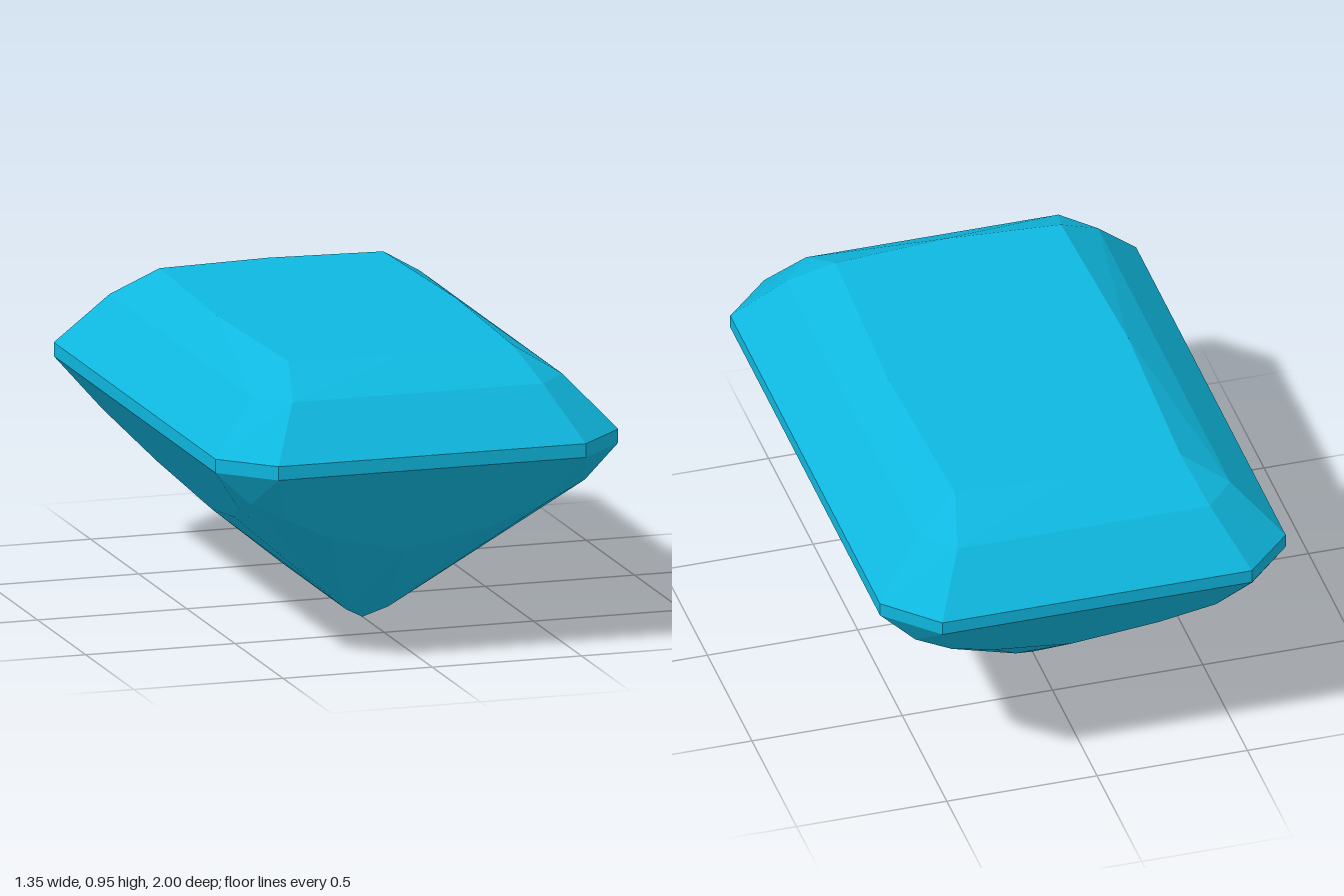
import * as THREE from 'three';

const v = (x, y, z) => new THREE.Vector3(x, y, z);
const CENTRE = v(0, 0.55, 0);

// Mirrors the facets of one quarter (x > 0, z > 0) into all four, facing outwards
function facetMesh(name, facets, material) {
  const positions = [];
  for (const sx of [1, -1]) for (const sz of [1, -1]) for (const facet of facets) {
    const pts = facet.map(p => v(p.x * sx, p.y, p.z * sz));
    for (let i = 1; i < pts.length - 1; i++) {
      let [a, b, c] = [pts[0], pts[i], pts[i + 1]];
      const normal = b.clone().sub(a).cross(c.clone().sub(a));
      const outward = a.clone().add(b).add(c).divideScalar(3).sub(CENTRE);
      if (normal.dot(outward) < 0) [b, c] = [c, b];
      for (const p of [a, b, c]) positions.push(p.x, p.y, p.z);
    }
  }
  const geometry = new THREE.BufferGeometry();
  geometry.setAttribute('position', new THREE.Float32BufferAttribute(positions, 3));
  geometry.computeVertexNormals();
  const mesh = new THREE.Mesh(geometry, material);
  mesh.name = name;
  return mesh;
}

// Quarter of a cut-corner rectangle: side middle, two corner points, end middle
const ring = (y, x, z, cornerX, cornerZ) =>
  [v(x, y, 0), v(x, y, cornerZ), v(cornerX, y, z), v(0, y, z)];

const band = (a, b) => [0, 1, 2].map(i => [a[i], a[i + 1], b[i + 1], b[i]]);

export function createModel() {
  const group = new THREE.Group();
  group.name = 'gem';
  const material = new THREE.MeshStandardMaterial({ color: 0x0fb8e0, flatShading: true });

  const girdleLow = ring(0.65, 0.675, 1, 0.515, 0.84);
  const girdleHigh = ring(0.695, 0.675, 1, 0.515, 0.84);
  const shoulder = ring(0.865, 0.52, 0.85, 0.42, 0.74);

  // Crown: main bevels, star facets and the flat table
  const tableSide = v(0.4, 0.955, 0), tableCorner = v(0.375, 0.955, 0.67), tableEnd = v(0, 0.955, 0.7);
  const crown = [
    ...band(girdleHigh, shoulder),
    [shoulder[0], shoulder[1], tableSide],
    [shoulder[1], tableCorner, tableSide],
    [shoulder[1], shoulder[2], tableCorner],
    [shoulder[2], tableEnd, tableCorner],
    [shoulder[2], shoulder[3], tableEnd],
    [v(0, 0.955, 0), tableSide, tableCorner, tableEnd],
  ];

  // Pavilion: curved-edged main facets, then a fan down to the keel
  const sideMid = v(0.415, 0.32, 0), side = v(0.47, 0.39, 0.4), sideCorner = v(0.557, 0.5, 0.7);
  const corner = v(0.56, 0.54, 0.85);
  const endCorner = v(0.44, 0.48, 0.85), end = v(0.27, 0.39, 0.77), endMid = v(0, 0.32, 0.71);
  const keelEnd = v(0, 0, 0.275), keelMid = v(0, 0, 0);
  const keelSide = v(0.07, 0.04, 0.325), keelSideMid = v(0.07, 0.04, 0);
  const [gSide, gCornerA, gCornerB, gEnd] = girdleLow;
  const rim = [sideMid, side, sideCorner, corner, endCorner, end, endMid];
  const pavilion = [
    [gSide, gCornerA, sideCorner, side, sideMid],
    [gCornerA, corner, sideCorner],
    [gCornerA, gCornerB, corner],
    [gCornerB, endCorner, corner],
    [gEnd, gCornerB, endCorner, end, endMid],
    ...rim.slice(1).map((p, i) => [rim[i], p, keelSide]),
    [sideMid, keelSide, keelSideMid],
    [endMid, keelSide, keelEnd],
    [keelSideMid, keelSide, keelEnd, keelMid],
  ];

  group.add(
    facetMesh('crown', crown, material),
    facetMesh('girdle', band(girdleLow, girdleHigh), material),
    facetMesh('pavilion', pavilion, material),
  );
  return group;
}
